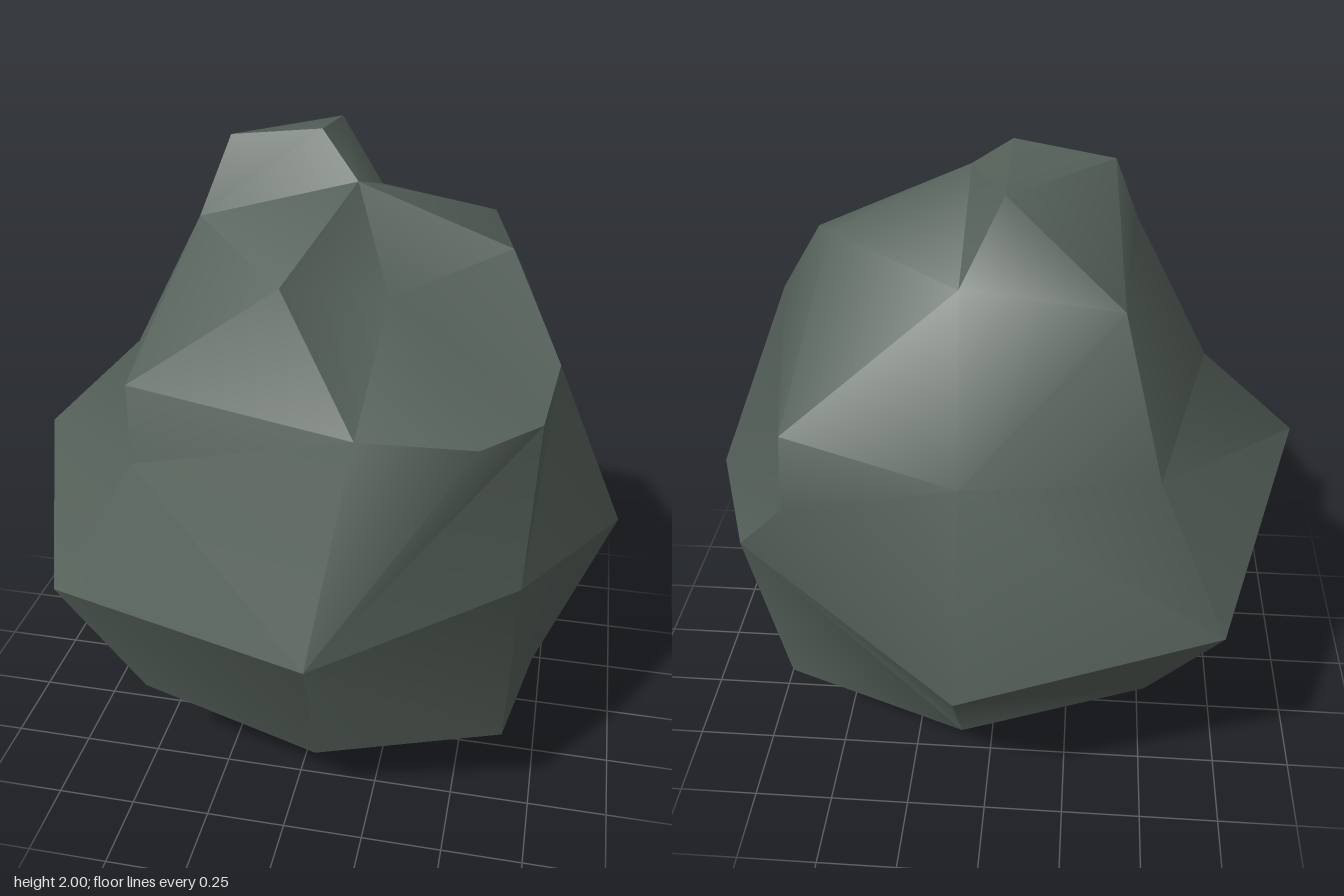
import * as THREE from 'three';
import { toCreasedNormals } from 'three/addons/utils/BufferGeometryUtils.js';

// Cross-sections of the lower half, eight corners each, from the front round by +x
const waist = [[0.11, 0.77, 0.92], [0.67, 0.89, 0.58], [0.95, 0.8, 0], [0.76, 0.86, -0.52],
  [0.07, 0.64, -0.93], [-0.7, 0.77, -0.74], [-0.95, 0.99, 0.05], [-0.73, 0.74, 0.65]];
const foot = [[0.08, 0.22, 0.64], [0.65, 0.32, 0.55], [0.72, 0.22, 0.04], [0.65, 0.32, -0.5],
  [0.08, 0.22, -0.63], [-0.5, 0.32, -0.5], [-0.56, 0.21, 0.04], [-0.5, 0.32, 0.55]];
const base = [0.08, 0, 0.04];

// Chiselled corners of the upper half
const [f, fr, r, br, b, bl, l, fl] = waist;
const crown = [0.09, 1.88, 0.04];
const peakA = [-0.04, 2, -0.07], peakB = [-0.33, 1.96, -0.1], peakC = [-0.04, 1.96, -0.39];
const neckL = [-0.41, 1.73, 0], neckBack = [-0.37, 1.68, -0.49], neckR = [0.08, 1.72, -0.47];
const brow = [-0.05, 1.7, 0.46], shoulder = [0.55, 1.69, -0.01], shoulderBack = [0.48, 1.75, -0.18];
const notch = [0.21, 1.58, 0.18], notchF = [0.21, 1.4, 0.73], notchR = [0.72, 1.4, 0.15];
const lipF = [0.53, 1.36, 0.64], lipR = [0.69, 1.37, 0.48];
const cheekTop = [-0.48, 1.41, 0.55], cheekLow = [-0.48, 1.16, 0.56], side = [-0.64, 1.29, 0];
const backL = [-0.49, 1.23, -0.63], back = [0.05, 1.33, -0.84];
const ridgeTop = [0.55, 1.38, -0.7], ridgeLow = [0.57, 1.13, -0.7];

const upperFacets = [
  // front
  [f, fr, lipR, lipF, notchF], [f, notchF, cheekLow, fl], [notchF, cheekTop, cheekLow],
  [notchF, brow, cheekTop], [brow, crown, neckL, cheekTop],
  // left-hand slope
  [cheekTop, neckL, side], [cheekTop, side, cheekLow], [cheekLow, side, l, fl],
  [neckL, neckBack, side], [neckBack, backL, side], [backL, bl, l, side],
  // peak
  [peakA, peakB, neckL, crown], [peakA, peakC, peakB], [peakB, peakC, neckBack],
  [peakB, neckBack, neckL], [peakC, neckR, neckBack], [crown, peakA, peakC],
  [crown, peakC, neckR, shoulderBack, shoulder],
  // back
  [neckR, shoulderBack, ridgeTop, back], [neckBack, neckR, back], [neckBack, back, backL],
  [back, backL, bl, b], [back, b, ridgeLow, ridgeTop], [ridgeLow, b, br],
  // right-hand side
  [shoulderBack, shoulder, ridgeTop], [shoulder, notchR, ridgeTop], [ridgeTop, notchR, ridgeLow],
  [ridgeLow, notchR, r, br], [notchR, r, fr, lipR],
  // notch walls and floor
  [brow, notchF, notch, crown], [notch, notchR, shoulder, crown], [notch, notchF, lipF, lipR, notchR],
];

// Splits facets into triangles, each turned to face away from the core
function facetGeometry(facets, crease) {
  const core = new THREE.Vector3(0.03, 0.9, 0);
  const positions = [];
  const normal = new THREE.Vector3(), middle = new THREE.Vector3();
  for (const facet of facets) {
    const pts = facet.map((p) => new THREE.Vector3(...p));
    for (let i = 1; i < pts.length - 1; i++) {
      const tri = new THREE.Triangle(pts[0], pts[i], pts[i + 1]);
      tri.getNormal(normal);
      tri.getMidpoint(middle).sub(core);
      const order = normal.dot(middle) > 0 ? [tri.a, tri.b, tri.c] : [tri.a, tri.c, tri.b];
      for (const p of order) positions.push(p.x, p.y, p.z);
    }
  }
  const geometry = new THREE.BufferGeometry();
  geometry.setAttribute('position', new THREE.Float32BufferAttribute(positions, 3));
  return toCreasedNormals(geometry, crease);
}

export function createModel() {
  const stone = new THREE.MeshStandardMaterial({ color: 0x56615a });
  stone.name = 'dark grey-green stone';

  const group = new THREE.Group();
  group.name = 'rock';
  const addPart = (name, facets, crease) => {
    const mesh = new THREE.Mesh(facetGeometry(facets, crease), stone);
    mesh.name = name;
    group.add(mesh);
  };

  // undercut band below the waist, and the underside running to the base point
  const band = [], underside = [];
  for (let i = 0; i < 8; i++) {
    const j = (i + 1) % 8;
    band.push([waist[i], waist[j], foot[j], foot[i]]);
    underside.push([foot[i], foot[j], base]);
  }

  addPart('upperRock', upperFacets, 0.8);
  addPart('undercutBand', band, 0.8);
  addPart('underside', underside, 0.8);
  return group;
}
